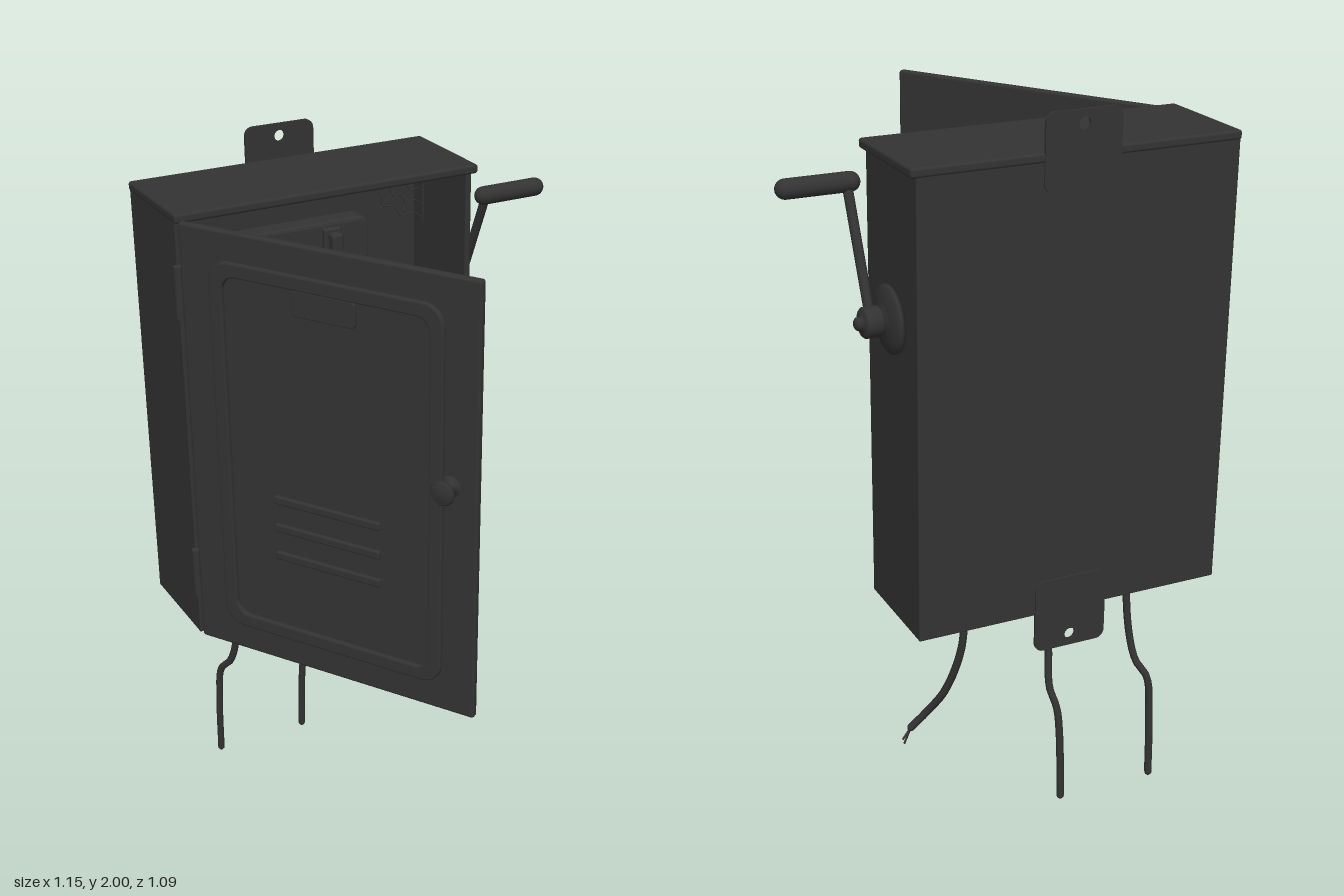
import * as THREE from 'three';
import { RoundedBoxGeometry } from 'three/addons/geometries/RoundedBoxGeometry.js';

export function createModel() {
  const root = new THREE.Group();
  root.name = 'fuseBox';
  const iron = new THREE.MeshStandardMaterial({ color: 0x333333 });
  iron.name = 'darkIron';

  const add = (parent, name, geo, x = 0, y = 0, z = 0) => {
    const m = new THREE.Mesh(geo, iron);
    m.name = name;
    m.position.set(x, y, z);
    parent.add(m);
    return m;
  };
  // Box given by its limits, with slightly rounded edges
  const block = (parent, name, x0, x1, y0, y1, z0, z1, r = 0.004) =>
    add(parent, name, new RoundedBoxGeometry(x1 - x0, y1 - y0, z1 - z0, 2, r),
      (x0 + x1) / 2, (y0 + y1) / 2, (z0 + z1) / 2);
  const roundRect = (x0, x1, y0, y1, r, C = THREE.Shape) => {
    const s = new C();
    s.absarc(x1 - r, y1 - r, r, 0, Math.PI / 2);
    s.absarc(x0 + r, y1 - r, r, Math.PI / 2, Math.PI);
    s.absarc(x0 + r, y0 + r, r, Math.PI, Math.PI * 1.5);
    s.absarc(x1 - r, y0 + r, r, Math.PI * 1.5, Math.PI * 2);
    s.closePath();
    return s;
  };
  // Extruded plate whose bevel stays inside the given depth
  const plate = (parent, name, shape, z, depth, bevel = 0) =>
    add(parent, name, new THREE.ExtrudeGeometry(shape, {
      depth: depth - bevel, bevelEnabled: bevel > 0, bevelThickness: bevel, bevelSize: bevel,
      bevelOffset: -bevel, bevelSegments: 2, curveSegments: 6,
    }), 0, 0, z);
  const rod = (parent, name, a, b, r) => {
    const d = b.clone().sub(a);
    const m = add(parent, name, new THREE.CylinderGeometry(r, r, d.length(), 10));
    m.position.copy(a).addScaledVector(d, 0.5);
    m.quaternion.setFromUnitVectors(new THREE.Vector3(0, 1, 0), d.normalize());
    return m;
  };
  const V = (x, y, z) => new THREE.Vector3(x, y, z);
  const lathe = (pts) => new THREE.LatheGeometry(pts.map(p => new THREE.Vector2(...p)), 24);

  // Open cabinet
  const cabinet = new THREE.Group();
  cabinet.name = 'cabinet';
  root.add(cabinet);
  block(cabinet, 'backWall', -0.56, 0.33, 0.64, 1.89, -0.54, -0.522);
  block(cabinet, 'leftWall', 0.312, 0.33, 0.64, 1.89, -0.54, -0.225);
  block(cabinet, 'rightWall', -0.56, -0.542, 0.64, 1.89, -0.54, -0.225);
  block(cabinet, 'floor', -0.56, 0.33, 0.64, 0.658, -0.54, -0.225);
  block(cabinet, 'roof', -0.563, 0.345, 1.876, 1.902, -0.543, -0.213, 0.008);
  plate(cabinet, 'mountingPanel', roundRect(-0.51, 0.28, 0.69, 1.87, 0.01), -0.522, 0.022, 0.004);

  // Wall tabs with screw holes
  for (const [y0, y1, hy] of [[1.8, 2, 1.965], [0.53, 0.74, 0.565]]) {
    const tab = roundRect(-0.215, -0.005, y0, y1, 0.025);
    const hole = new THREE.Path();
    hole.absarc(-0.11, hy, 0.016, 0, Math.PI * 2, true);
    tab.holes.push(hole);
    plate(cabinet, 'wallTab', tab, -0.545, 0.008);
  }

  // Main switch block
  plate(cabinet, 'switchBlock', roundRect(-0.36, 0.12, 1.54, 1.725, 0.03), -0.5, 0.06, 0.01);
  for (const x of [-0.235, -0.005]) {
    block(cabinet, 'switchBar', x - 0.027, x + 0.027, 1.56, 1.71, -0.45, -0.425, 0.006);
    block(cabinet, 'switchGrip', x - 0.015, x + 0.02, 1.57, 1.7, -0.43, -0.395, 0.008);
  }

  // Fuses and their sockets, one left empty
  const fuseGeo = lathe([[0, 0], [0.045, 0], [0.045, 0.018], [0.038, 0.026], [0.03, 0.028],
    [0.028, 0.05], [0.022, 0.058], [0, 0.06]]);
  for (const y of [1.33, 1.06]) for (const x of [-0.355, -0.19, -0.025, 0.14]) {
    plate(cabinet, 'fuseBase', roundRect(x - 0.063, x + 0.063, y - 0.063, y + 0.063, 0.012), -0.5, 0.05, 0.01);
    if (x === -0.025 && y === 1.33) {
      add(cabinet, 'emptySocketRing', new THREE.TorusGeometry(0.033, 0.009, 8, 24), x, y, -0.447);
      for (let i = 0; i < 6; i++) {
        const a = i * Math.PI / 3;
        add(cabinet, 'socketContact', new THREE.SphereGeometry(0.006, 8, 6),
          x + 0.022 * Math.cos(a), y + 0.022 * Math.sin(a), -0.448);
      }
    } else {
      add(cabinet, 'fuse', fuseGeo, x, y, -0.45).rotation.x = Math.PI / 2;
    }
  }
  const loose = add(cabinet, 'looseFuse', fuseGeo, 0.065, 0.703, -0.35);
  loose.rotation.set(Math.PI / 2, 0, -0.35);

  // Cobweb in the upper corner
  const web = new THREE.Group();
  web.name = 'cobweb';
  web.position.set(0.308, 1.872, -0.46);
  root.add(web);
  const spoke = (i, r) => {
    const a = Math.PI + i * Math.PI / 8;
    return V(r * Math.cos(a), r * Math.sin(a), 0);
  };
  for (let i = 0; i < 5; i++) {
    rod(web, 'webSpoke', V(0, 0, 0), spoke(i, 0.21), 0.0022);
    if (i < 4) for (const r of [0.07, 0.11, 0.15, 0.19]) {
      const mid = spoke(i + 0.5, r * 0.9);
      rod(web, 'webThread', spoke(i, r), mid, 0.002);
      rod(web, 'webThread', mid, spoke(i + 1, r), 0.002);
    }
  }

  // Wires from the lower fuses out through the floor
  const wires = [
    [[-0.355, 1.0, -0.46], [-0.36, 0.85, -0.43], [-0.36, 0.64, -0.41], [-0.367, 0.45, -0.425],
      [-0.38, 0.36, -0.45], [-0.4, 0.32, -0.48], [-0.407, 0.2, -0.492], [-0.407, 0.01, -0.502]],
    [[-0.19, 1.0, -0.46], [-0.155, 0.85, -0.43], [-0.11, 0.64, -0.41], [-0.108, 0.45, -0.43],
      [-0.1, 0.35, -0.455], [-0.112, 0.29, -0.48], [-0.118, 0.2, -0.49], [-0.12, 0.01, -0.5]],
    [[0.14, 1.0, -0.46], [0.14, 0.85, -0.43], [0.14, 0.64, -0.41], [0.146, 0.5, -0.4],
      [0.175, 0.35, -0.355], [0.21, 0.265, -0.31], [0.25, 0.21, -0.288]],
  ];
  for (const pts of wires) {
    const path = new THREE.CatmullRomCurve3(pts.map(p => V(...p)));
    add(root, 'wire', new THREE.TubeGeometry(path, 48, 0.011, 8));
    const end = V(...pts[pts.length - 1]);
    add(root, 'wireEnd', new THREE.SphereGeometry(0.011, 8, 6)).position.copy(end);
    add(root, 'bushing', new THREE.CylinderGeometry(0.025, 0.025, 0.032, 16), pts[2][0], 0.644, -0.41);
  }
  for (const [x, z] of [[0.27, 0.16], [0.278, 0.18], [0.255, 0.17]])
    rod(root, 'frayedStrand', V(0.25, 0.21, -0.288), V(x, z, -0.28 - (x - 0.265)), 0.003);
  add(root, 'knockout', new THREE.CylinderGeometry(0.022, 0.022, 0.01, 16), 0.018, 0.637, -0.41);

  // Crank on the side wall, turning about x
  const crank = new THREE.Group();
  crank.name = 'crank';
  crank.position.set(0.33, 1.48, -0.383);
  root.add(crank);
  add(crank, 'crankHub', lathe([[0, 0], [0.09, 0], [0.09, 0.01], [0.078, 0.018], [0.05, 0.025], [0.025, 0.028],
    [0.025, 0.036], [0.04, 0.038], [0.04, 0.076], [0.034, 0.082], [0.017, 0.082], [0.017, 0.095],
    [0.01, 0.101], [0, 0.101]])).rotation.z = -Math.PI / 2;
  rod(crank, 'crankArm', V(0.057, 0, 0), V(0.057, 0.32, 0.145), 0.013);
  add(crank, 'crankHandle', new THREE.CapsuleGeometry(0.026, 0.17, 8, 18), 0.133, 0.32, 0.145).rotation.z = Math.PI / 2;

  // Hinge barrels
  for (const y of [0.847, 1.69])
    add(root, 'hinge', new THREE.CylinderGeometry(0.013, 0.013, 0.145, 14), -0.561, y, -0.217);

  // Door, swung open about the hinge
  const door = new THREE.Group();
  door.name = 'door';
  door.position.set(-0.561, 0, -0.217);
  door.rotation.y = -58 * Math.PI / 180;
  root.add(door);
  block(door, 'doorPanel', 0.015, 0.89, 0.647, 1.888, -0.012, 0.012, 0.008);
  const frame = roundRect(0.11, 0.795, 0.73, 1.81, 0.06);
  frame.holes.push(roundRect(0.15, 0.755, 0.77, 1.77, 0.04, THREE.Path));
  plate(door, 'raisedFrame', frame, 0.01, 0.014, 0.005);
  plate(door, 'labelPlate', roundRect(0.36, 0.545, 1.7, 1.772, 0.012), 0.01, 0.012, 0.003);
  for (const y of [0.99, 1.075, 1.16])
    block(door, 'louver', 0.285, 0.61, y - 0.012, y + 0.012, 0.008, 0.022, 0.005);
  add(door, 'knob', lathe([[0, 0], [0.03, 0], [0.03, 0.006], [0.012, 0.01], [0.012, 0.034], [0.03, 0.042],
    [0.034, 0.05], [0.028, 0.057], [0, 0.06]]), 0.815, 1.33, 0.01).rotation.x = Math.PI / 2;
  return root;
}
